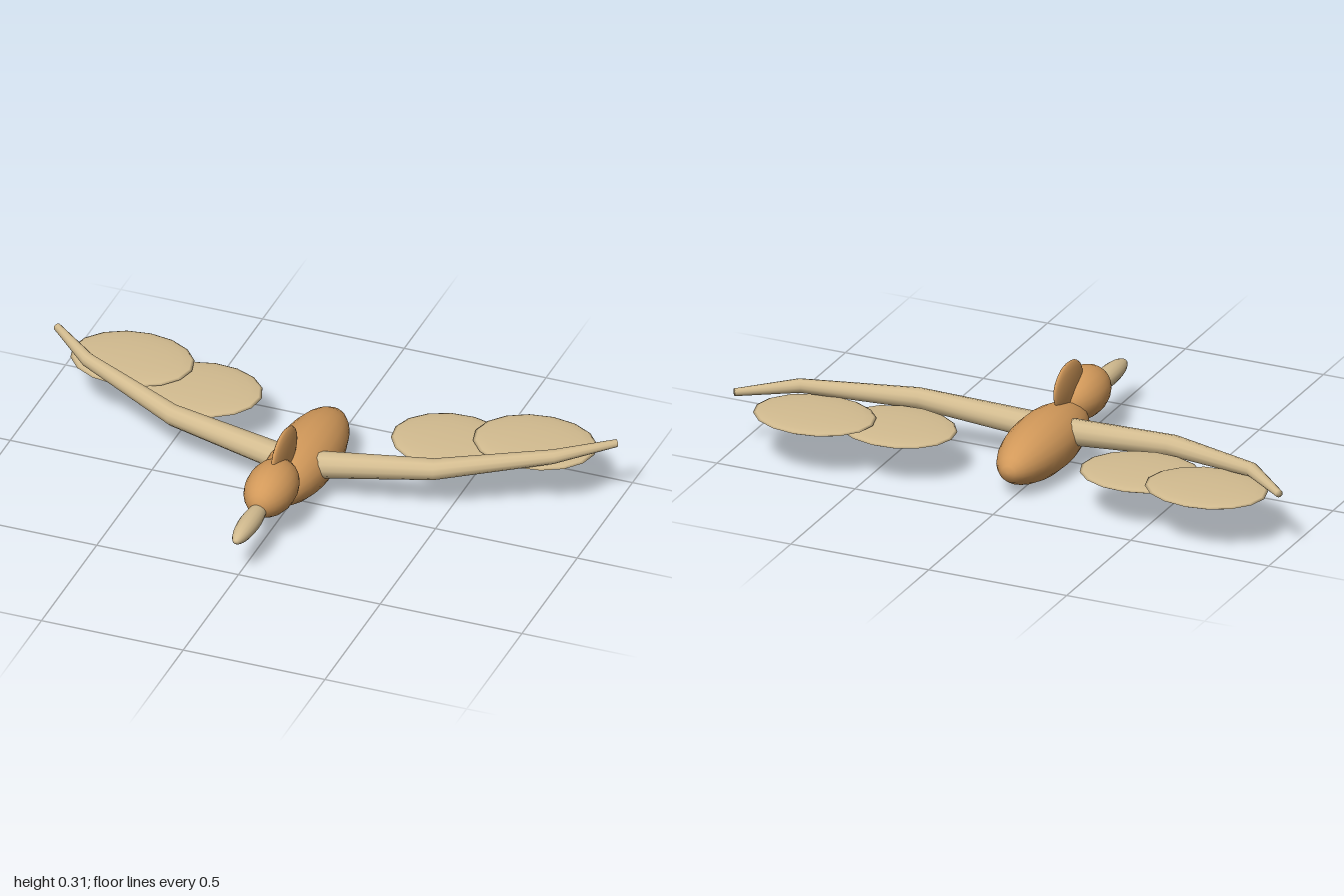
import * as THREE from 'three';

const orange = new THREE.MeshStandardMaterial({ name: 'orangePlumage', color: 0xd2995a });
const tan = new THREE.MeshStandardMaterial({ name: 'tanFeather', color: 0xd3bc90 });

// Smooth ellipsoid with its poles along z
function ellipsoid(name, material, center, radii, segments = 20) {
  const geometry = new THREE.SphereGeometry(1, segments, 14);
  geometry.rotateX(Math.PI / 2);
  geometry.scale(...radii);
  const mesh = new THREE.Mesh(geometry, material);
  mesh.name = name;
  mesh.position.set(...center);
  return mesh;
}

// Tapered limb through stations [x, y, z, radius], closed at both ends
function limb(stations, sides = 12) {
  const up = new THREE.Vector3(0, 1, 0);
  const points = stations.map(([x, y, z]) => new THREE.Vector3(x, y, z));
  const position = [], index = [];
  const last = points.length - 1;
  points.forEach((p, i) => {
    const tangent = points[Math.min(i + 1, last)].clone().sub(points[Math.max(i - 1, 0)]).setY(0).normalize();
    const side = tangent.cross(up);
    for (let j = 0; j < sides; j++) {
      const a = (j / sides) * Math.PI * 2, r = stations[i][3];
      const v = p.clone().addScaledVector(side, r * Math.cos(a)).addScaledVector(up, r * Math.sin(a));
      position.push(v.x, v.y, v.z);
      if (i < last) {
        const q = i * sides + j, n = i * sides + (j + 1) % sides;
        index.push(q, q + sides, n, n, q + sides, n + sides);
      }
    }
  });
  const start = position.length / 3;
  position.push(...points[0].toArray(), ...points[last].toArray());
  for (let j = 0; j < sides; j++) {
    const k = (j + 1) % sides;
    index.push(start, j, k, start + 1, last * sides + k, last * sides + j);
  }
  const geometry = new THREE.BufferGeometry();
  geometry.setAttribute('position', new THREE.Float32BufferAttribute(position, 3));
  geometry.setIndex(index);
  geometry.computeVertexNormals();
  return geometry;
}

// Flat oval feather fan lying almost level, with its poles along y
function fan(name, center, radii, turn) {
  const geometry = new THREE.SphereGeometry(1, 16, 10);
  geometry.scale(...radii);
  const mesh = new THREE.Mesh(geometry, tan);
  mesh.name = name;
  mesh.position.set(...center);
  mesh.rotation.y = turn;
  return mesh;
}

function wing(s) {
  const group = new THREE.Group();
  group.name = s > 0 ? 'leftWing' : 'rightWing';
  const arm = new THREE.Mesh(limb([
    [s * 0.06, 0.13, -0.038, 0.046],
    [s * 0.46, 0.173, -0.088, 0.036],
    [s * 0.82, 0.213, -0.243, 0.024],
    [s * 0.987, 0.217, -0.392, 0.013],
  ]), tan);
  arm.name = 'wingArm';
  group.add(
    arm,
    fan('innerFeathers', [s * 0.44, 0.155, -0.295], [0.205, 0.014, 0.17], s * -0.1),
    fan('outerFeathers', [s * 0.71, 0.174, -0.362], [0.21, 0.014, 0.168], 0),
  );
  return group;
}

export function createModel() {
  const bird = new THREE.Group();
  bird.name = 'bird';
  bird.add(
    ellipsoid('body', orange, [0, 0.106, -0.11], [0.11, 0.103, 0.277]),
    ellipsoid('head', orange, [0, 0.165, 0.2], [0.085, 0.086, 0.132]),
    ellipsoid('crest', orange, [0, 0.236, 0.086], [0.019, 0.082, 0.108], 16),
    ellipsoid('beak', tan, [0, 0.145, 0.4], [0.035, 0.034, 0.13], 16),
    wing(1),
    wing(-1),
  );
  return bird;
}
